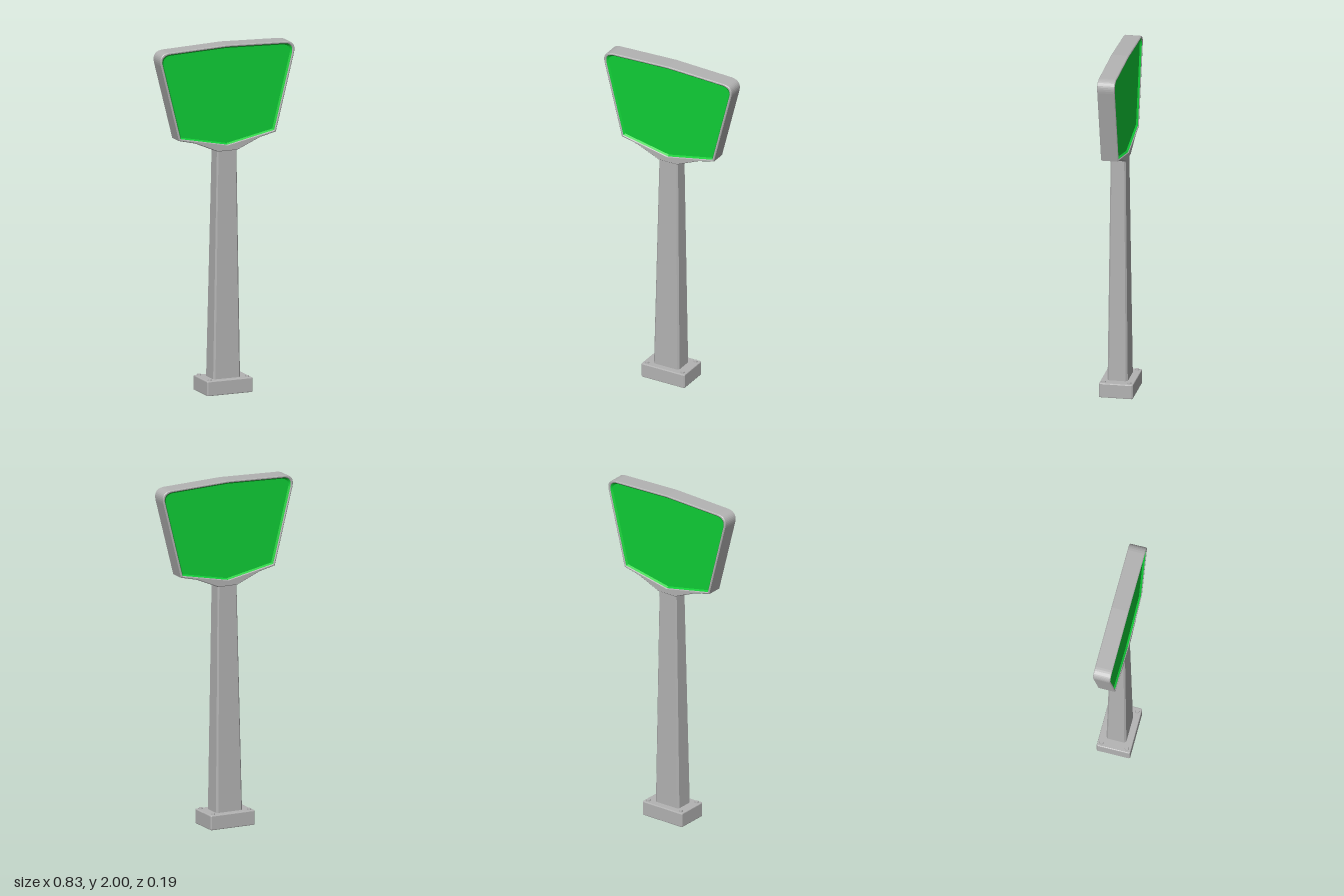
import * as THREE from 'three';

const grey = new THREE.MeshStandardMaterial({ color: 0xb3b3b3 });
grey.name = 'grey metal';
const green = new THREE.MeshStandardMaterial({ color: 0x0fce36 });
green.name = 'green panel';

const add = (parent, name, geometry, material) => {
  const mesh = new THREE.Mesh(geometry, material);
  mesh.name = name;
  parent.add(mesh);
  return mesh;
};

const faceted = (geometry) => {
  const flat = geometry.index ? geometry.toNonIndexed() : geometry;
  flat.computeVertexNormals();
  return flat;
};

// Rectangle with cut corners
const cutRect = (w, d, c) => new THREE.Shape([
  [w - c, -d], [w, c - d], [w, d - c], [w - c, d],
  [c - w, d], [-w, d - c], [-w, c - d], [c - w, -d],
].map(([x, y]) => new THREE.Vector2(x, y)));

// Symmetrical sign outline; right half given from bottom centre upward
function signOutline(lower, sideEnd, corner, topStart, topY) {
  const s = new THREE.Shape();
  s.moveTo(...lower[0]);
  lower.slice(1).forEach((p) => s.lineTo(...p));
  s.lineTo(...sideEnd);
  s.quadraticCurveTo(...corner, ...topStart);
  s.lineTo(0, topY);
  s.lineTo(-topStart[0], topStart[1]);
  s.quadraticCurveTo(-corner[0], corner[1], -sideEnd[0], sideEnd[1]);
  [...lower].reverse().forEach(([x, y]) => { if (x > 0) s.lineTo(-x, y); });
  return s;
}

// Shallow sloping rim between an outline and its smaller inner copy
function rimGeometry(outer, inner, zOuter, zInner) {
  const pos = [];
  outer.forEach((a, i) => {
    const j = (i + 1) % outer.length;
    const a0 = [a.x, a.y, zOuter], a1 = [outer[j].x, outer[j].y, zOuter];
    const b0 = [inner[i].x, inner[i].y, zInner], b1 = [inner[j].x, inner[j].y, zInner];
    pos.push(...a0, ...a1, ...b0, ...a1, ...b1, ...b0);
  });
  const g = new THREE.BufferGeometry();
  g.setAttribute('position', new THREE.Float32BufferAttribute(pos, 3));
  g.computeVertexNormals();
  return g;
}

export function createModel() {
  const model = new THREE.Group();
  model.name = 'signpost';

  // Base plate, hollow underneath
  const base = new THREE.Group();
  base.name = 'base';
  base.position.set(-0.005, 0, -0.002);
  model.add(base);
  const bevel = 0.005, baseHeight = 0.085;
  const plate = cutRect(0.14, 0.097, 0.006);
  plate.holes.push(cutRect(0.118, 0.075, 0.004));
  const plateGeo = new THREE.ExtrudeGeometry(plate, {
    depth: baseHeight - 2 * bevel, bevelSize: bevel, bevelThickness: bevel,
    bevelOffset: -bevel, bevelSegments: 2,
  });
  plateGeo.translate(0, 0, bevel).rotateX(-Math.PI / 2);
  add(base, 'baseWalls', plateGeo, grey);
  add(base, 'baseLid', new THREE.BoxGeometry(0.252, 0.03, 0.166), grey).position.y = baseHeight - 0.015;

  // Four bolts
  for (const x of [-0.115, 0.115]) {
    for (const z of [-0.073, 0.073]) {
      const bolt = add(base, 'bolt', faceted(new THREE.CylinderGeometry(0.011, 0.013, 0.012, 8)), grey);
      bolt.position.set(x, baseHeight + 0.003, z);
    }
  }

  // Tapered post with chamfered edges
  const postBottom = 0.07, postHeight = 1.345;
  const postGeo = new THREE.ExtrudeGeometry(cutRect(0.083, 0.058, 0.01), {
    depth: postHeight, bevelEnabled: false,
  });
  postGeo.rotateX(-Math.PI / 2);
  const p = postGeo.attributes.position;
  for (let i = 0; i < p.count; i++) {
    const t = p.getY(i) / postHeight;
    p.setX(i, p.getX(i) * (1 - 0.28 * t) - 0.006 * (1 - t));
    p.setZ(i, p.getZ(i) * (1 - 0.26 * t));
  }
  add(model, 'post', faceted(postGeo), grey).position.y = postBottom;

  // Sign frame, open in the middle
  const edge = 0.004, half = 0.05;
  const frame = signOutline(
    [[0, 1.39], [0.06, 1.39], [0.2, 1.45], [0.298, 1.473]],
    [0.41, 1.915], [0.426, 1.982], [0.36, 1.987], 2);
  const opening = signOutline(
    [[0, 1.425], [0.288, 1.483]],
    [0.397, 1.915], [0.41, 1.968], [0.355, 1.974], 1.987);
  frame.holes.push(opening);
  const frameGeo = new THREE.ExtrudeGeometry(frame, {
    depth: 2 * (half - edge), bevelSize: edge, bevelThickness: edge,
    bevelOffset: -edge, bevelSegments: 1, curveSegments: 10,
  });
  frameGeo.translate(0, 0, edge - half);
  add(model, 'signFrame', frameGeo, grey);

  // Recessed green faces, front and back
  const outer = opening.getPoints(10);
  if (outer[0].equals(outer[outer.length - 1])) outer.pop();
  const inner = outer.map((v) => new THREE.Vector2(v.x * 0.975, 1.705 + (v.y - 1.705) * 0.972));
  [0, Math.PI].forEach((turn, i) => {
    const face = new THREE.Group();
    face.name = i ? 'backFace' : 'frontFace';
    face.rotation.y = turn;
    const panel = new THREE.ShapeGeometry(new THREE.Shape(inner));
    add(face, 'panel', panel, green).position.z = half - 0.014;
    add(face, 'panelRim', rimGeometry(outer, inner, half - edge, half - 0.014), green);
    model.add(face);
  });

  return model;
}
